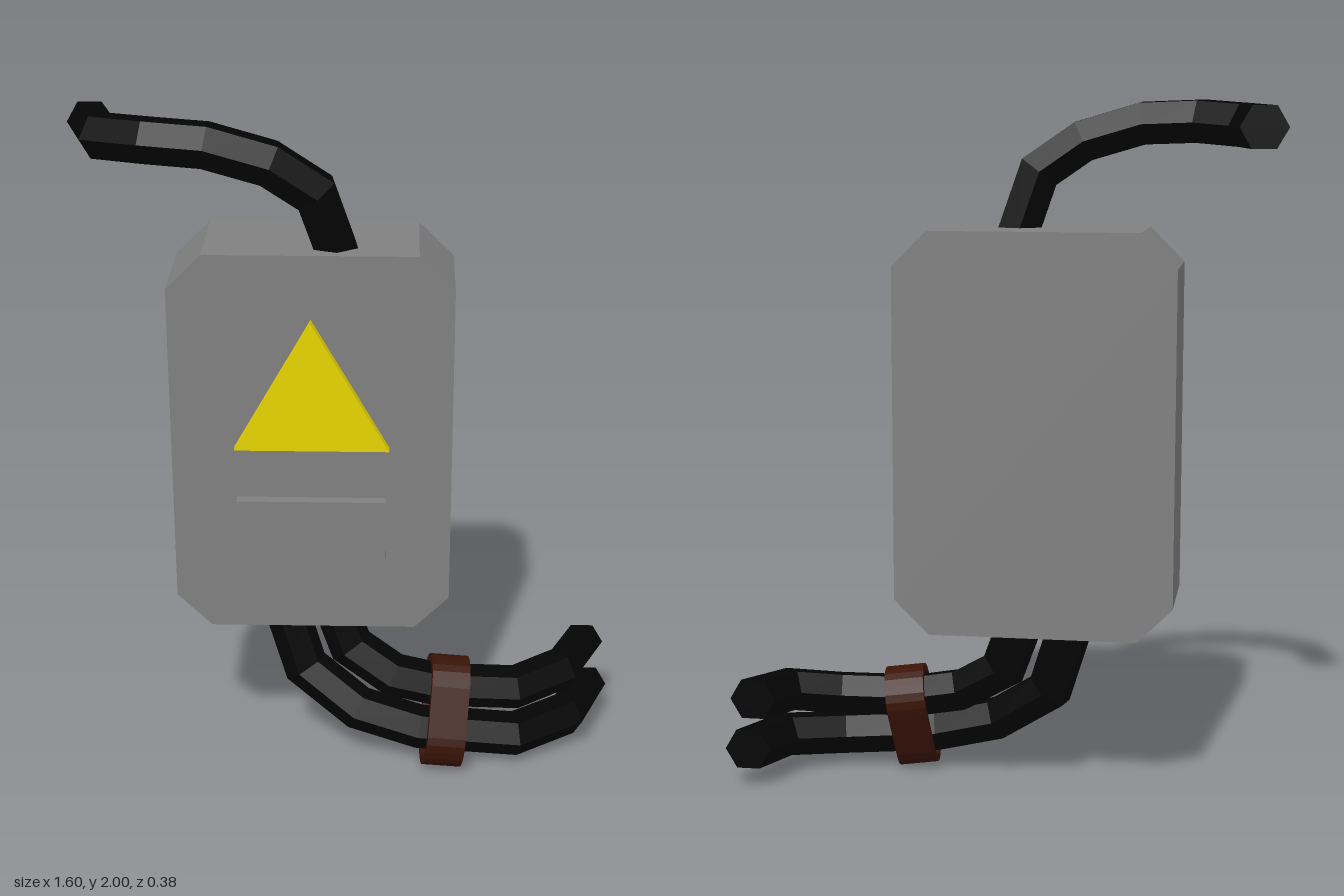
import * as THREE from 'three';

const BACK = -0.19;
const paint = (color) => new THREE.MeshStandardMaterial({ color, flatShading: true });

function add(group, name, geometry, material) {
  const mesh = new THREE.Mesh(geometry, material);
  mesh.name = name;
  group.add(mesh);
  return mesh;
}

// Flat plate: outline in x/y pushed from z0 to z1
function plate(points, z0, z1) {
  const shape = new THREE.Shape(points.map(([x, y]) => new THREE.Vector2(x, y)));
  const geometry = new THREE.ExtrudeGeometry(shape, { depth: z1 - z0, bevelEnabled: false });
  return geometry.translate(0, 0, z0);
}

// Six-sided cable with mitred bends; its first end is cut flat against the wall plane
function cable(path, radius = 0.067, sides = 6) {
  const pts = path.map((p) => new THREE.Vector3(...p));
  const dirs = pts.slice(1).map((p, i) => p.clone().sub(pts[i]).normalize());
  const rings = [[]];
  for (let j = 0; j < sides; j++) {
    const a = (j / sides) * Math.PI * 2;
    rings[0].push(new THREE.Vector3(Math.cos(a) * radius, Math.sin(a) * radius, 0).add(pts[0]));
  }
  for (let i = 1; i < pts.length; i++) {
    const d = dirs[i - 1];
    const n = d.clone().add(dirs[i] ?? d).normalize();
    rings.push(rings[i - 1].map((v) => {
      const t = pts[i].clone().sub(v).dot(n) / d.dot(n);
      return v.clone().addScaledVector(d, t);
    }));
  }
  const index = [];
  for (let i = 0; i < rings.length - 1; i++) {
    for (let j = 0; j < sides; j++) {
      const k = (j + 1) % sides;
      const a = i * sides + j, b = i * sides + k;
      index.push(a, b, a + sides, b, b + sides, a + sides);
    }
  }
  const last = (rings.length - 1) * sides;
  for (let j = 1; j < sides - 1; j++) {
    index.push(0, j + 1, j, last, last + j, last + j + 1);
  }
  const geometry = new THREE.BufferGeometry().setFromPoints(rings.flat());
  geometry.setIndex(index);
  geometry.computeVertexNormals();
  return geometry;
}

// Stadium outline of the strap: two round ends joined by straight sides
function stadium(PathType, half, radius) {
  const path = new PathType();
  path.absarc(0, half, radius, 0, Math.PI, false);
  path.absarc(0, -half, radius, Math.PI, Math.PI * 2, false);
  path.closePath();
  return path;
}

export function createModel() {
  const model = new THREE.Group();
  model.name = 'electricalBox';
  const grey = paint(0x808080);
  const yellow = paint(0xe7d500);
  const black = paint(0x040404);
  const brown = paint(0x3a1406);

  // Housing with cut corners
  const [l, r, b, t, c] = [-0.507, 0.29, 0.487, 1.64, 0.1];
  add(model, 'housing', plate([
    [l + c, b], [r - c, b], [r, b + c], [r, t - c],
    [r - c, t], [l + c, t], [l, t - c], [l, b + c],
  ], BACK, 0.11), grey);

  // Raised warning triangle and blank plate on the front
  add(model, 'warningTriangle',
    plate([[-0.327, 1.07], [0.112, 1.07], [-0.108, 1.455]], 0.1, 0.142), yellow);
  add(model, 'labelPlate',
    plate([[-0.323, 0.645], [0.103, 0.645], [0.103, 0.91], [-0.323, 0.91]], 0.1, 0.142), grey);

  // Cables, each running from the wall into the housing
  const cables = {
    topCable: [
      [-0.733, 1.925, BACK], [-0.685, 1.928, -0.04], [-0.55, 1.938, 0.035], [-0.39, 1.932, 0.057],
      [-0.22, 1.882, 0.052], [-0.095, 1.795, 0.037], [-0.03, 1.6, 0.015],
    ],
    upperBottomCable: [
      [0.715, 0.27, BACK], [0.64, 0.26, -0.04], [0.5, 0.235, 0.028], [0.27, 0.238, 0.025],
      [0.13, 0.265, 0.015], [0, 0.345, -0.02], [-0.075, 0.55, -0.045],
    ],
    lowerBottomCable: [
      [0.733, 0.117, BACK], [0.662, 0.112, -0.02], [0.5, 0.097, 0.072], [0.21, 0.12, 0.077],
      [0.025, 0.17, 0.055], [-0.137, 0.283, 0.0], [-0.22, 0.55, -0.035],
    ],
  };
  for (const [name, path] of Object.entries(cables)) add(model, name, cable(path), black);

  // Strap holding the two bottom cables together, leaning forward at the bottom
  const loop = stadium(THREE.Shape, 0.077, 0.092);
  loop.holes.push(stadium(THREE.Path, 0.077, 0.071));
  const band = new THREE.ExtrudeGeometry(loop, { depth: 0.115, bevelEnabled: false, curveSegments: 6 });
  band.translate(0, 0, -0.0575).rotateZ(-0.46).rotateY(Math.PI / 2 + 0.08).rotateZ(-0.12);
  const strap = add(model, 'cableStrap', band, brown);
  strap.position.set(0.287, 0.168, 0.058);

  return model;
}
